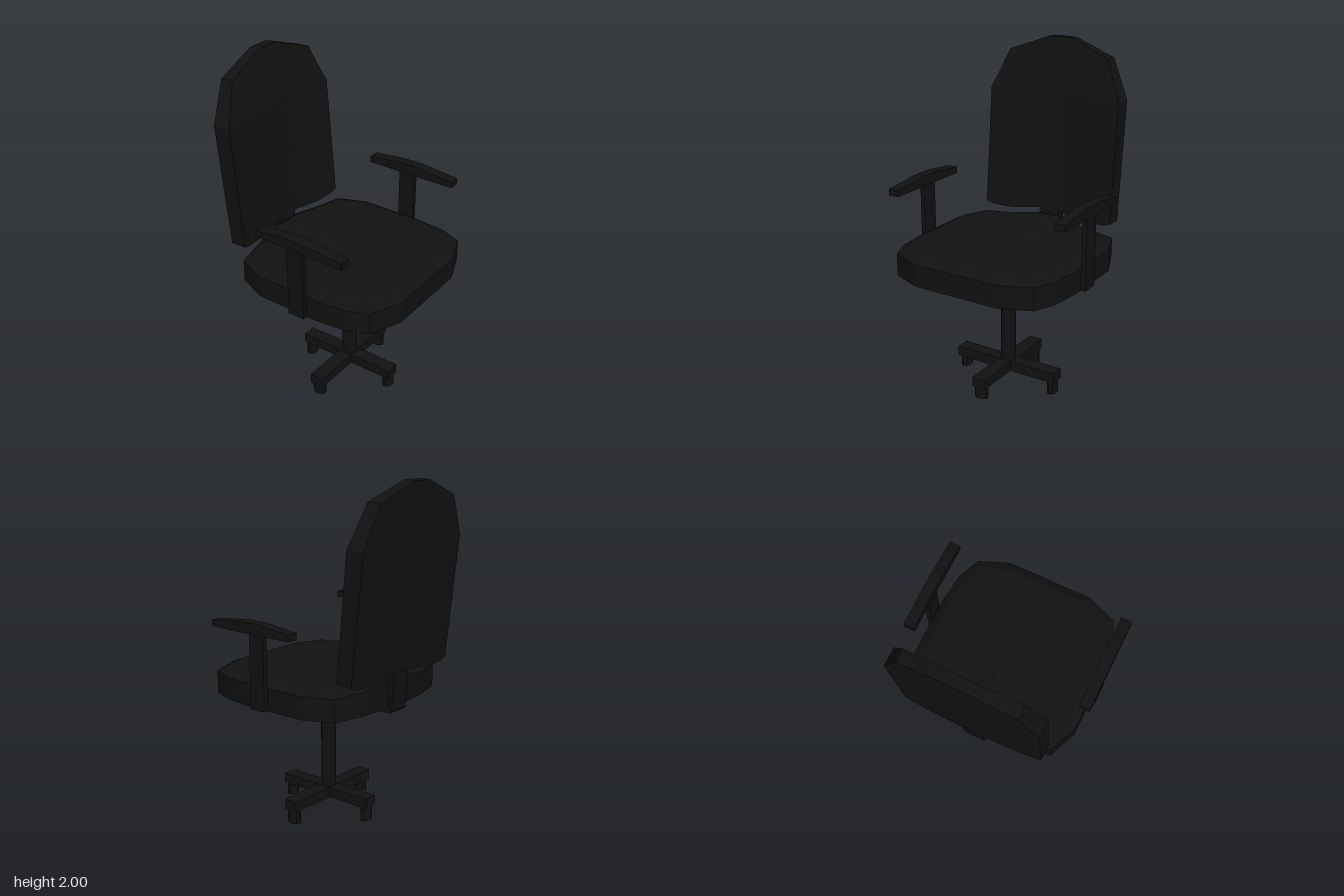
import * as THREE from 'three';

const material = new THREE.MeshStandardMaterial({ color: 0x111111, flatShading: true });

// Closed solid through rings of equal point count, with a fan cap at each end
function loft(rings, centers = []) {
  const pos = [];
  const tri = (a, b, c) => pos.push(...a, ...b, ...c);
  const n = rings[0].length;
  const mid = (r) => [0, 1, 2].map((k) => r.reduce((s, p) => s + p[k], 0) / n);
  for (let i = 0; i < rings.length - 1; i++) {
    for (let j = 0; j < n; j++) {
      const k = (j + 1) % n;
      const a = rings[i][j], b = rings[i][k], c = rings[i + 1][k], d = rings[i + 1][j];
      tri(a, b, c);
      tri(a, c, d);
    }
  }
  const first = rings[0], last = rings[rings.length - 1];
  const c0 = centers[0] || mid(first), c1 = centers[1] || mid(last);
  for (let j = 0; j < n; j++) {
    const k = (j + 1) % n;
    tri(c0, first[k], first[j]);
    tri(c1, last[j], last[k]);
  }
  // Turn the faces outward if the enclosed volume is negative
  let volume = 0;
  const v = (i) => new THREE.Vector3().fromArray(pos, i);
  for (let i = 0; i < pos.length; i += 9) volume += v(i).dot(v(i + 3).cross(v(i + 6)));
  if (volume < 0) {
    for (let i = 0; i < pos.length; i += 9) {
      for (let k = 3; k < 6; k++) [pos[i + k], pos[i + k + 3]] = [pos[i + k + 3], pos[i + k]];
    }
  }
  const g = new THREE.BufferGeometry();
  g.setAttribute('position', new THREE.Float32BufferAttribute(pos, 3));
  g.computeVertexNormals();
  return g;
}

// Side profile given as (z, y) points, extruded across x
function sideExtrude(points, width) {
  const shape = new THREE.Shape(points.map(([z, y]) => new THREE.Vector2(z, y)));
  return new THREE.ExtrudeGeometry(shape, { depth: width, bevelEnabled: false })
    .translate(0, 0, -width / 2)
    .rotateY(-Math.PI / 2);
}

function seatGeometry() {
  const half = [[0.07, -0.44], [0.27, -0.42], [0.455, -0.375], [0.528, -0.2], [0.53, 0.2],
    [0.51, 0.38], [0.455, 0.51], [0.27, 0.585]];
  const outline = [...half, ...half.slice().reverse().map(([x, z]) => [-x, z])];
  // The cushion rises towards the middle of its rear edge
  const rise = (x, z) => 0.035 * THREE.MathUtils.clamp((0.03 - z) / 0.45, 0, 1)
    * THREE.MathUtils.clamp((0.29 - Math.abs(x)) / 0.2, 0, 1);
  const ring = (s, y, top) => outline.map(([x, z]) =>
    [x * s, y + (top ? rise(x, z) : 0), 0.05 + (z - 0.05) * s]);
  return loft([ring(1, 0.74), ring(1, 0.872, true), ring(0.9, 0.9, true)],
    [[0, 0.74, 0.05], [0, 0.9, 0.05]]);
}

function backrestGeometry() {
  // Columns across the width: x, top, bottom, backward bow
  const half = [[0.435, 1.67, 0.95, 0], [0.39, 1.77, 0.935, 0.008], [0.33, 1.905, 0.932, 0.013],
    [0.26, 1.93, 0.932, 0.018], [0.07, 2, 0.96, 0.03]];
  const columns = [...half, ...half.slice().reverse().map(([x, ...r]) => [-x, ...r])];
  const at = (y, z0, z1, z2) => (y < 1.67
    ? THREE.MathUtils.mapLinear(y, 0.94, 1.67, z0, z1)
    : THREE.MathUtils.mapLinear(y, 1.67, 2, z1, z2));
  return loft(columns.map(([x, top, bottom, bow]) => {
    const mid = Math.min(1.67, top - 0.02);
    const front = (y) => [x, y, at(y, -0.375, -0.44, -0.495) - bow];
    const back = (y) => [x, y - 0.005, at(y, -0.473, -0.55, -0.568) - bow * 0.7];
    return [front(bottom), front(mid), front(top), back(top), back(mid), back(bottom)];
  }));
}

export function createModel() {
  const chair = new THREE.Group();
  chair.name = 'officeChair';
  const add = (name, geometry, x = 0, y = 0, z = 0, parent = chair) => {
    const mesh = new THREE.Mesh(geometry, material);
    mesh.name = name;
    mesh.position.set(x, y, z);
    parent.add(mesh);
    return mesh;
  };

  add('seat', seatGeometry());
  add('backrest', backrestGeometry());

  // Bracket running under the seat and up to the backrest
  add('backBracket', sideExtrude([[0.21, 0.745], [0.21, 0.715], [0.1, 0.705], [-0.1, 0.718],
    [-0.45, 0.713], [-0.462, 0.725], [-0.477, 0.93], [-0.455, 1.02], [-0.42, 1.02],
    [-0.41, 0.94], [-0.41, 0.745]], 0.13));

  // Armrests
  for (const side of [1, -1]) {
    const arm = new THREE.Group();
    arm.name = side > 0 ? 'leftArmrest' : 'rightArmrest';
    chair.add(arm);
    add('armPost', new THREE.BoxGeometry(0.027, 0.44, 0.105), side * 0.546, 0.96, 0.088, arm);
    add('armPad', sideExtrude([[0.41, 1.172], [0.41, 1.21], [0.17, 1.233], [0.05, 1.233],
      [-0.165, 1.21], [-0.165, 1.172]], 0.066), side * 0.544, 0, 0, arm);
  }

  // Column with a flared top
  const profile = [[0, 0.085], [0.045, 0.085], [0.045, 0.63], [0.052, 0.68], [0.068, 0.71], [0, 0.71]];
  add('column', new THREE.LatheGeometry(profile.map(([r, y]) => new THREE.Vector2(r, y)), 12), 0, 0, 0.05);

  // Cross base with a foot under each end
  const base = new THREE.Group();
  base.name = 'base';
  base.position.z = 0.05;
  chair.add(base);
  add('crossLegX', new THREE.BoxGeometry(0.68, 0.062, 0.085), 0, 0.115, 0, base);
  add('crossLegZ', new THREE.BoxGeometry(0.085, 0.06, 0.64), 0, 0.115, 0, base);
  const feet = [[0.31, 0, 0.005], [-0.305, 0, 0.02], [0, 0.29, 0.015], [0, -0.29, 0]];
  for (const [x, z, low] of feet) {
    const height = 0.1 - low;
    const foot = add('foot', new THREE.CylinderGeometry(0.5, 0.5, height, 10), x, low + height / 2, z, base);
    foot.scale.set(x ? 0.062 : 0.085, 1, x ? 0.085 : 0.06);
  }
  return chair;
}
